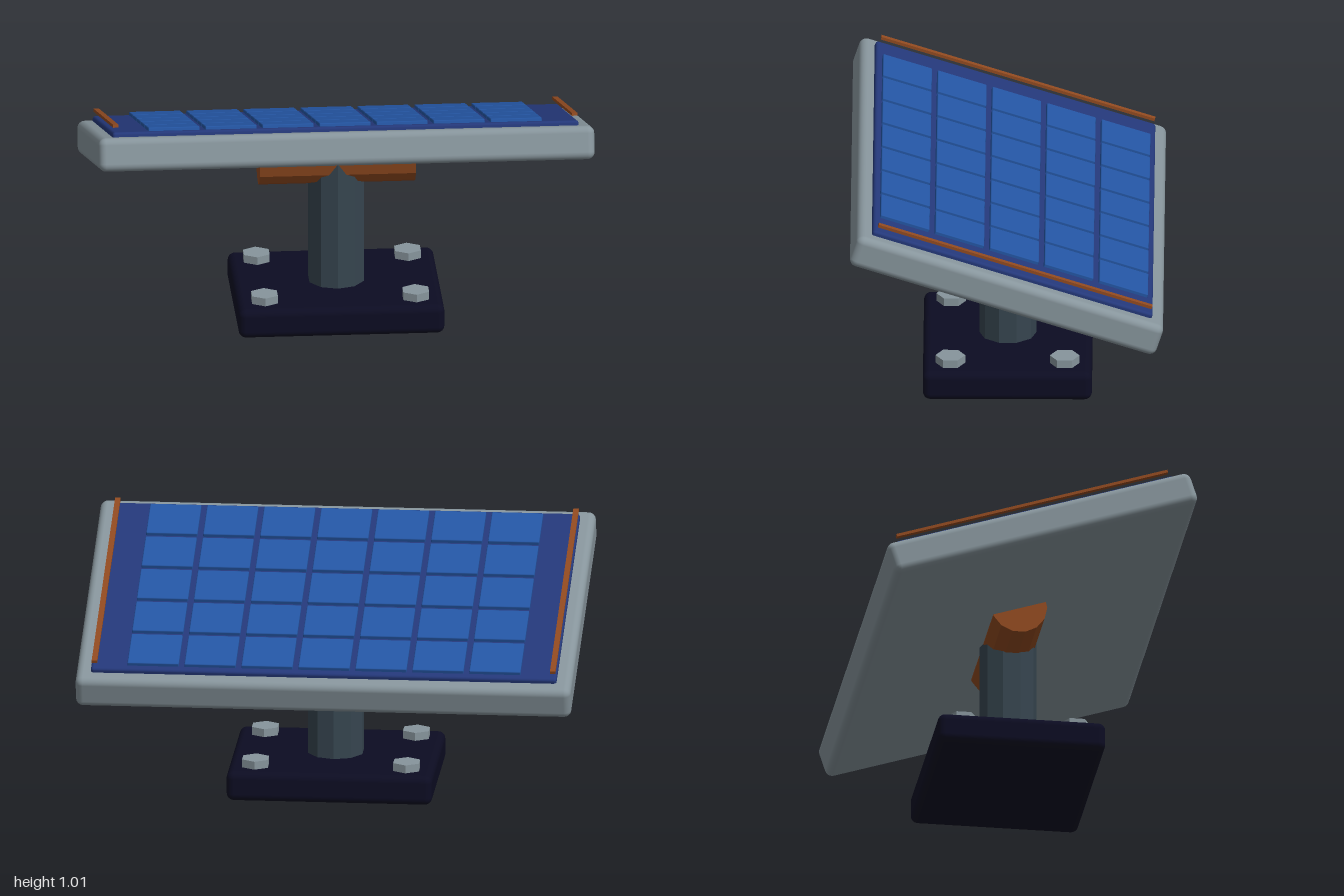
import * as THREE from 'three';
import { RoundedBoxGeometry } from 'three/addons/geometries/RoundedBoxGeometry.js';

const mat = (name, color, flatShading = false) =>
  new THREE.MeshStandardMaterial({ name, color, flatShading });

export function createModel() {
  const grey = mat('frame grey', 0x87959c);
  const steel = mat('bolt steel', 0x87959c, true);
  const charcoal = mat('post charcoal', 0x36454f, true);
  const rust = mat('rust brown', 0x914a20, true);
  const navy = mat('base navy', 0x0c0c22);
  const darkBlue = mat('backing blue', 0x24387a);
  const blue = mat('cell blue', 0x2456a4);

  const add = (parent, name, geometry, material, x = 0, y = 0, z = 0) => {
    const mesh = new THREE.Mesh(geometry, material);
    mesh.name = name;
    mesh.position.set(x, y, z);
    parent.add(mesh);
    return mesh;
  };

  const model = new THREE.Group();
  model.name = 'solarPanel';

  // Base plate with four hexagonal bolts
  add(model, 'base', new RoundedBoxGeometry(0.83, 0.122, 0.68, 3, 0.03), navy, 0, 0.061, 0);
  const boltGeo = new THREE.CylinderGeometry(0.06, 0.06, 0.055, 6);
  for (const x of [-0.305, 0.305])
    for (const z of [-0.23, 0.23]) add(model, 'bolt', boltGeo, steel, x, 0.1275, z);

  // Ten-sided post and the horizontal pivot it carries
  add(model, 'post', new THREE.CylinderGeometry(0.115, 0.115, 0.6, 10), charcoal, 0, 0.4, 0);
  const pivot = add(model, 'pivot', new THREE.CylinderGeometry(0.115, 0.115, 0.63, 14), rust, 0, 0.658, 0);
  pivot.rotation.z = Math.PI / 2;

  // Tilted panel, front edge raised
  const panel = new THREE.Group();
  panel.name = 'panel';
  panel.position.y = 0.7195;
  panel.rotation.x = -THREE.MathUtils.degToRad(18);
  model.add(panel);

  add(panel, 'frame', new RoundedBoxGeometry(2, 0.136, 1.296, 3, 0.03), grey);
  add(panel, 'backing', new RoundedBoxGeometry(1.88, 0.04, 1.184, 2, 0.012), darkBlue, 0, 0.068, 0);

  // Grid of seven by five cells
  const cellGeo = new RoundedBoxGeometry(0.207, 0.02, 0.207, 1, 0.004);
  for (let col = -3; col <= 3; col++)
    for (let row = -2; row <= 2; row++)
      add(panel, 'cell', cellGeo, blue, col * 0.23, 0.092, row * 0.231);

  // Thin rails along both short sides
  const railGeo = new THREE.BoxGeometry(0.022, 0.012, 1.157);
  for (const x of [-0.925, 0.925]) add(panel, 'rail', railGeo, rust, x, 0.112, 0);

  return model;
}
